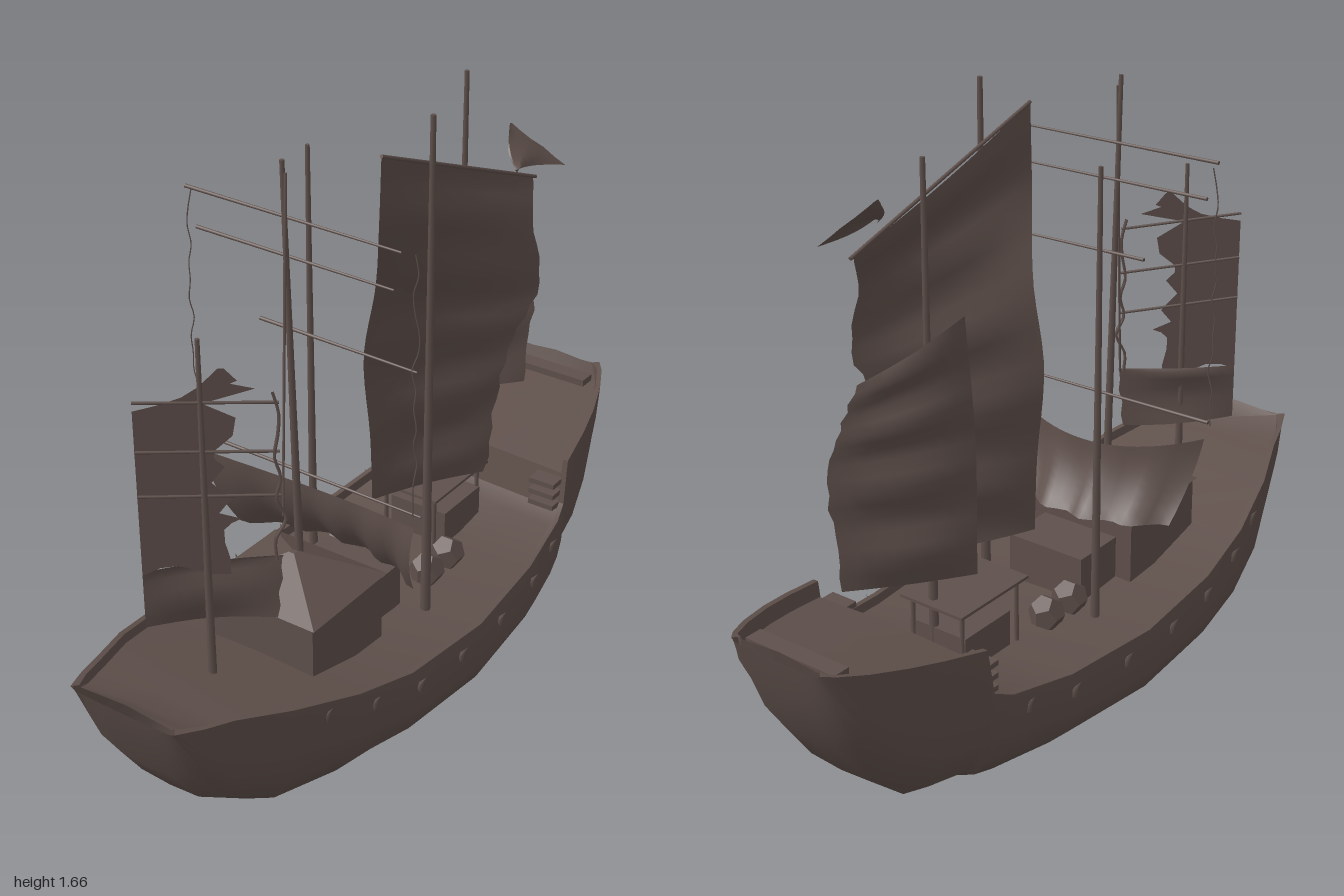
import * as THREE from 'three';
import { toCreasedNormals } from 'three/addons/utils/BufferGeometryUtils.js';

const weatheredWood = new THREE.MeshStandardMaterial({ color: 0x5f504b, side: THREE.DoubleSide });
weatheredWood.name = 'weatheredWood';

let seed = 7;
const rand = () => (seed = (seed * 16807) % 2147483647) / 2147483647;
const V = (x, y, z) => new THREE.Vector3(x, y, z);

function add(parent, name, geometry) {
  const mesh = new THREE.Mesh(geometry, weatheredWood);
  mesh.name = name;
  parent.add(mesh);
  return mesh;
}

// Surface through a list of equally long rows of points
function loft(rows, crease = 0.6) {
  const pos = [], idx = [], n = rows[0].length;
  rows.forEach(r => r.forEach(p => pos.push(p.x, p.y, p.z)));
  for (let i = 0; i < rows.length - 1; i++) {
    for (let j = 0; j < n - 1; j++) {
      const a = i * n + j, b = a + n;
      idx.push(a, b, a + 1, b, b + 1, a + 1);
    }
  }
  const g = new THREE.BufferGeometry();
  g.setAttribute('position', new THREE.Float32BufferAttribute(pos, 3));
  g.setIndex(idx);
  return toCreasedNormals(g, crease);
}

// Round spar between two points
function spar(parent, name, a, b, r0, r1 = r0) {
  const m = add(parent, name, new THREE.CylinderGeometry(r1, r0, a.distanceTo(b), 8));
  m.position.copy(a).add(b).multiplyScalar(0.5);
  m.quaternion.setFromUnitVectors(V(0, 1, 0), b.clone().sub(a).normalize());
  return m;
}

function box(parent, name, w, h, d, x, y, z) {
  const m = add(parent, name, new THREE.BoxGeometry(w, h, d));
  m.position.set(x, y, z);
  return m;
}

// Cloth between a fore edge and an aft edge, billowing sideways
function sail(parent, name, fore, aft, rows = 18, bulge = 0.03, ragged = 0.01) {
  const f = new THREE.CatmullRomCurve3(fore), a = new THREE.CatmullRomCurve3(aft);
  const grid = [];
  for (let i = 0; i <= rows; i++) {
    const p = f.getPoint(i / rows), q = a.getPoint(i / rows), row = [];
    q.lerp(p, (rand() - 0.5) * ragged * 4);
    const side = V(q.z - p.z, 0, p.x - q.x).normalize();
    for (let j = 0; j <= 8; j++) {
      const t = j / 8, wave = Math.sin(Math.PI * t) * bulge * (0.6 + 0.4 * Math.sin(i * 1.3));
      row.push(p.clone().lerp(q, t).addScaledVector(side, wave));
    }
    grid.push(row);
  }
  return add(parent, name, loft(grid, 1));
}

// Hull stations: z, half width, keel height, rail height
const stations = [
  [1, 0.16, 0.47, 0.48], [0.93, 0.19, 0.27, 0.465], [0.85, 0.215, 0.155, 0.45], [0.7, 0.275, 0.055, 0.41],
  [0.5, 0.335, 0.03, 0.355], [0.3, 0.365, 0.018, 0.305], [0, 0.38, 0.005, 0.285], [-0.3, 0.35, 0.015, 0.29],
  [-0.5, 0.31, 0.03, 0.32], [-0.555, 0.292, 0.034, 0.345], [-0.575, 0.287, 0.036, 0.475], [-0.7, 0.26, 0.05, 0.5],
  [-0.8, 0.235, 0.14, 0.52], [-0.9, 0.2, 0.28, 0.54], [-0.97, 0.165, 0.44, 0.555], [-1, 0.14, 0.55, 0.562]
];

function railAt(z) {
  for (let i = 1; i < stations.length; i++) {
    const a = stations[i - 1], b = stations[i];
    if (z >= b[0]) {
      const t = (a[0] - z) / (a[0] - b[0]);
      return a.map((v, k) => v + (b[k] - v) * t);
    }
  }
}

function buildHull(parent) {
  const shape = [[0, 0], [0.42, 0.02], [0.74, 0.15], [0.92, 0.37], [1, 0.6]];
  const shell = [], deck = [];
  for (const [z, w, b, t] of stations) {
    const end = THREE.MathUtils.smoothstep(Math.abs(z), 0.3, 0.75);
    const rail = w * (0.95 + 0.05 * end);
    const half = shape.map(([u, v]) => V(w * u * (v > 0.5 ? 1 - 0.04 * end : 1), b + (t - b) * v, z));
    half.push(V(rail, t, z));
    const mirror = half.slice(1).reverse().map(p => V(-p.x, p.y, p.z));
    shell.push([...mirror, ...half]);
    // Rail top, inner bulwark and deck
    const depth = Math.abs(z) > 0.98 ? 0.005 : z < -0.56 ? 0.045 : 0.025, inner = rail - 0.015;
    const zi = z * (Math.abs(z) > 0.98 ? 0.985 : 1);
    const side = [V(rail, t, z), V(inner, t, zi), V(inner - 0.004, t - depth, zi), V(0, t - depth + 0.01, zi)];
    deck.push([...side, ...side.slice(0, 3).reverse().map(p => V(-p.x, p.y, p.z))]);
  }
  add(parent, 'hull', loft(shell, 0.7));
  add(parent, 'deck', loft(deck, 0.4));
  // Pegs along both sides
  for (const s of [-1, 1]) {
    for (const z of [0.6, 0.45, 0.28, 0.1, -0.1, -0.3, -0.45]) {
      const [, w, , t] = railAt(z);
      const peg = add(parent, 'hullPeg', new THREE.ConeGeometry(0.014, 0.05, 5));
      peg.position.set(s * (w - 0.003), t - 0.035, z);
      peg.rotation.z = -s * 0.5;
    }
    // Stepped side lockers before the raised stern
    for (let i = 0; i < 3; i++) box(parent, 'sideLocker', 0.08, 0.015, 0.1, s * 0.23, 0.34 + i * 0.035, -0.57);
  }
  box(parent, 'sternBench', 0.28, 0.02, 0.05, 0, 0.53, -0.93);
}

function buildDeckhouse(parent) {
  box(parent, 'cabin', 0.34, 0.2, 0.3, 0, 0.375, 0.335);
  const roof = add(parent, 'cabinRoof', toCreasedNormals(new THREE.CylinderGeometry(0.012, 0.255, 0.085, 4).rotateY(Math.PI / 4), 0.3));
  roof.position.set(0, 0.517, 0.335);
  roof.scale.z = 0.88;
  box(parent, 'cabinStep', 0.24, 0.13, 0.17, 0, 0.335, 0.11);
  box(parent, 'hatch', 0.18, 0.1, 0.18, -0.02, 0.33, -0.36);
  box(parent, 'awning', 0.2, 0.008, 0.27, -0.02, 0.453, -0.34);
  for (const x of [-0.1, 0.06]) for (const z of [-0.23, -0.45]) spar(parent, 'awningPost', V(x, 0.27, z), V(x, 0.45, z), 0.006);
  for (let i = 0; i < 4; i++) {
    const cargo = add(parent, 'cargo', new THREE.DodecahedronGeometry(0.05));
    cargo.position.set(i % 2 ? 0.13 : -0.13, 0.32, -0.04 - 0.05 * i);
  }
}

function buildTornSail(parent) {
  // Yards and frayed edges left of the great sail
  for (const [y, l, r, z] of [[1.47, -0.33, 0.3, 0.3], [1.37, -0.3, 0.28, 0.3], [1.17, -0.12, 0.34, 0.29], [0.77, -0.34, 0.35, 0.28]])
    spar(parent, 'yard', V(l, y, z), V(r, y - 0.01, z), 0.005, 0.003);
  for (const s of [-1, 1]) {
    const pts = [];
    for (let i = 0; i <= 14; i++) pts.push(V(s * (0.325 + 0.02 * rand()), 1.46 - i * 0.05, 0.295 - 0.012 * rand()));
    add(parent, 'frayedEdge', new THREE.TubeGeometry(new THREE.CatmullRomCurve3(pts), 40, 0.002, 4));
  }
  // Fallen cloth sagging behind the cabin
  const rows = [];
  for (let i = 0; i <= 8; i++) {
    const v = i / 8, row = [];
    for (let j = 0; j <= 20; j++) {
      const u = j / 10 - 1, sag = 1 - u * u;
      row.push(V(u * (0.33 - 0.05 * v), 0.72 - 0.06 * sag - v * (0.24 - 0.05 * sag),
        0.28 - 0.09 * sag - 0.08 * v * v + 0.012 * Math.sin(j * 1.4) * v));
    }
    rows.push(row);
  }
  add(parent, 'fallenSail', loft(rows, 1));
}

function buildForesail(parent) {
  const at = (t, y) => V(-0.11 + 0.25 * t, y, 0.78 - 0.25 * t);
  sail(parent, 'foresailFoot', [at(0, 0.7), at(0, 0.54)], [at(0.95, 0.71), at(0.92, 0.53)], 6, 0.02);
  // Torn strips with uneven ends
  const strips = [];
  for (let i = 0; i <= 18; i++) {
    const y = 0.69 + i * 0.029, end = 0.42 + 0.28 * rand() + (i > 15 ? 0.15 : 0), row = [];
    const start = Math.max(0, (i - 15) * 0.16);
    for (let j = 0; j <= 5; j++) row.push(at(start + (end - start) * j / 5, y + 0.02 * Math.sin(j + i)));
    strips.push(row);
  }
  add(parent, 'tornForesail', loft(strips, 0.8));
  for (const y of [0.88, 1.0, 1.13]) spar(parent, 'foresailBatten', at(0, y + 0.03), at(0.95, y), 0.004);
  const edge = [];
  for (let i = 0; i <= 8; i++) edge.push(at(0.9 + 0.08 * rand(), 0.7 + i * 0.057));
  add(parent, 'foresailEdge', new THREE.TubeGeometry(new THREE.CatmullRomCurve3(edge), 24, 0.005, 4));
}

export function createModel() {
  const ship = new THREE.Group();
  ship.name = 'ship';
  buildHull(ship);
  buildDeckhouse(ship);

  // Masts: x, z, foot, top, radius
  for (const [x, z, y0, y1, r] of [[0, 0.67, 0.38, 1.31, 0.011], [0, 0.3, 0.3, 1.63, 0.012], [0.185, 0, 0.26, 1.67, 0.014],
    [-0.185, 0, 0.26, 1.51, 0.012], [0, -0.44, 0.28, 1.61, 0.013]])
    spar(ship, 'mast', V(x, y0, z), V(x, y1, z + (z === 0.3 ? 0.045 : 0)), r, r * 0.5);
  spar(ship, 'looseSpar', V(0.06, 0.75, 0.45), V(0.01, 1.6, 0.345), 0.003, 0.004);

  buildTornSail(ship);
  buildForesail(ship);
  sail(ship, 'mainSail',
    [V(0.12, 1.59, 0.12), V(0.1, 1.4, 0.1), V(0.02, 1.17, 0), V(-0.03, 0.95, -0.02), V(-0.03, 0.7, -0.05), V(-0.03, 0.5, -0.06)],
    [V(0.18, 1.34, -0.5), V(0.22, 1.22, -0.44), V(0.23, 1.05, -0.44), V(0.19, 0.9, -0.39), V(0.16, 0.72, -0.37), V(0.14, 0.5, -0.36)],
    24, 0.025);
  spar(ship, 'mainGaff', V(0.12, 1.59, 0.12), V(0.18, 1.34, -0.5), 0.005);
  sail(ship, 'aftSail',
    [V(-0.15, 1.27, -0.48), V(-0.16, 0.95, -0.46), V(-0.16, 0.59, -0.46)],
    [V(0, 1.13, -0.69), V(0.05, 0.92, -0.74), V(0.04, 0.59, -0.72)], 18, 0.03);
  // Flap of cloth blown off the main sail's upper corner
  sail(ship, 'looseFlap', [V(0.2, 1.41, -0.36), V(0.2, 1.39, -0.38)].reverse(),
    [V(0.12, 1.49, -0.46), V(0.24, 1.37, -0.55)], 6, 0.02);
  return ship;
}
